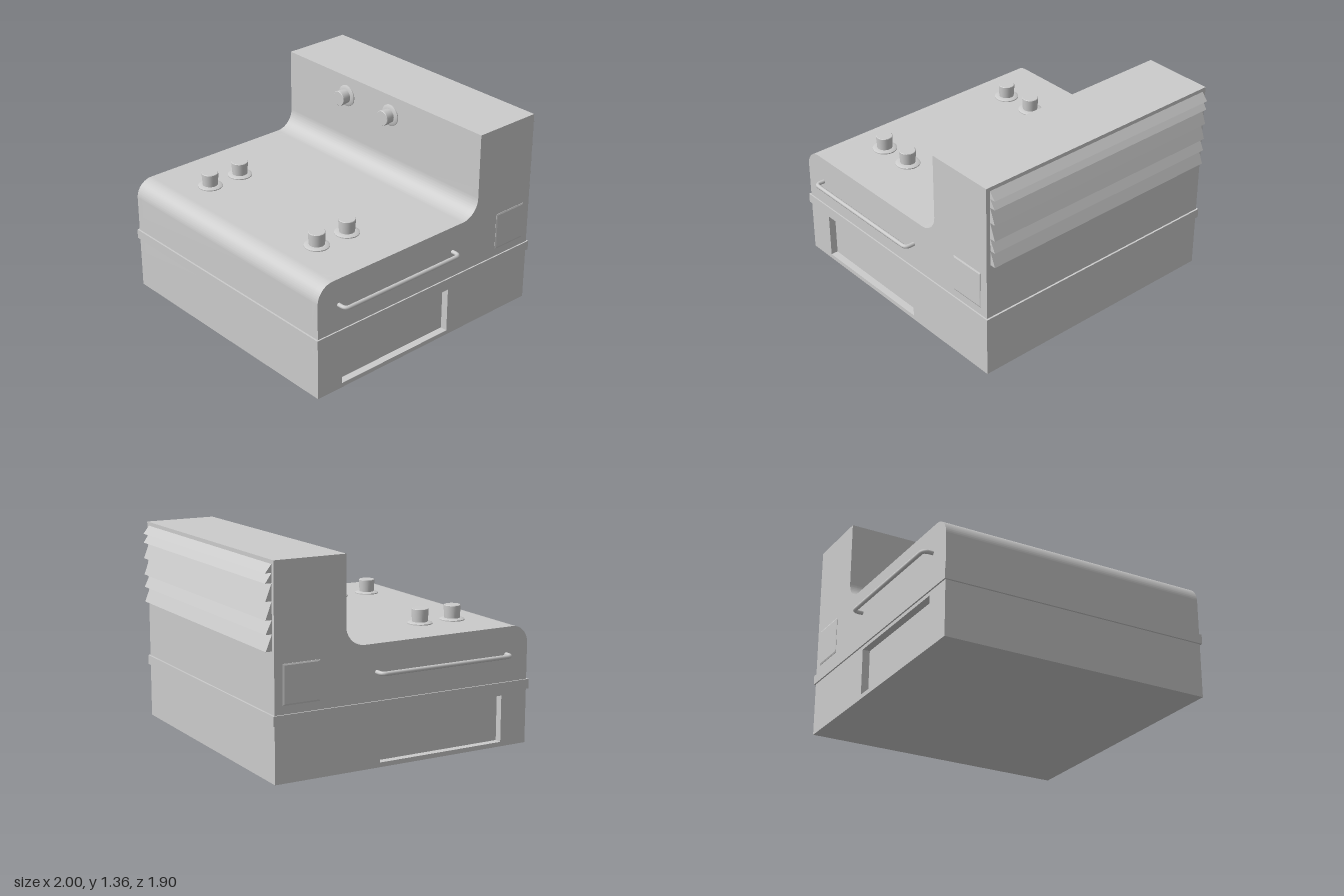
import * as THREE from 'three';
import { toCreasedNormals } from 'three/addons/utils/BufferGeometryUtils.js';

const material = new THREE.MeshStandardMaterial({ color: 0xcccccc });
const HALF = 0.922, RECESS = 0.05;
const FRONT = 0.935, BACK = -0.91, DECK = 0.79;

function part(name, geometry, parent) {
  const mesh = new THREE.Mesh(geometry, material);
  mesh.name = name;
  parent.add(mesh);
  return mesh;
}

// Extrudes a (z, y) side profile across the width, from x0 to x1
function extrudeAcross(shape, x0, x1) {
  const g = new THREE.ExtrudeGeometry(shape, { depth: x1 - x0, bevelEnabled: false, curveSegments: 16 });
  g.rotateY(-Math.PI / 2).translate(x1, 0, 0);
  return toCreasedNormals(g, 0.6);
}

// Side profile: rounded front edge, flat deck, cove, upright back
function bodyProfile() {
  const s = new THREE.Shape();
  s.moveTo(BACK, 0);
  s.lineTo(FRONT, 0);
  s.lineTo(FRONT, DECK - 0.12);
  s.absarc(FRONT - 0.12, DECK - 0.12, 0.12, 0, Math.PI / 2, false);
  s.lineTo(-0.29, DECK);
  s.absarc(-0.29, DECK + 0.13, 0.13, -Math.PI / 2, -Math.PI, true);
  s.lineTo(-0.42, 1.36);
  s.lineTo(BACK, 1.36);
  s.closePath();
  return s;
}

// Knob on a stepped round flange, standing on its base
function knobGeometry(flange, radius, height) {
  const points = [
    [0, 0], [flange, 0], [flange, 0.006], [flange - 0.012, 0.012], [radius - 0.004, 0.014],
    [radius, height * 0.75], [radius, height - 0.003], [radius - 0.003, height], [0, height],
  ].map(([r, y]) => new THREE.Vector2(r, y));
  return toCreasedNormals(new THREE.LatheGeometry(points, 32), 0.5);
}

// Grab rail with two rounded bends, for the +x side
function railGeometry() {
  const y = 0.61, inX = 0.91, outX = 0.986, z0 = -0.202, z1 = 0.768, r = 0.035;
  const v = (x, z) => new THREE.Vector3(x, y, z);
  const path = new THREE.CurvePath();
  path.add(new THREE.LineCurve3(v(inX, z0), v(outX - r, z0)));
  path.add(new THREE.QuadraticBezierCurve3(v(outX - r, z0), v(outX, z0), v(outX, z0 + r)));
  path.add(new THREE.LineCurve3(v(outX, z0 + r), v(outX, z1 - r)));
  path.add(new THREE.QuadraticBezierCurve3(v(outX, z1 - r), v(outX, z1), v(outX - r, z1)));
  path.add(new THREE.LineCurve3(v(outX - r, z1), v(inX, z1)));
  return new THREE.TubeGeometry(path, 100, 0.014, 10, false);
}

// Small raised side cover with a bevelled rim, for the +x side
function coverGeometry() {
  const s = new THREE.Shape();
  const w = 0.118;
  s.moveTo(-w, -w).lineTo(w, -w).lineTo(w, w).lineTo(-w, w).closePath();
  const g = new THREE.ExtrudeGeometry(s, {
    depth: 0.002, bevelThickness: 0.004, bevelSize: 0.01, bevelSegments: 1,
  });
  return g.rotateY(Math.PI / 2).translate(HALF, 0.61, -0.728);
}

export function createModel() {
  const model = new THREE.Group();
  model.name = 'counterUnit';

  // Body: a solid core and two side skins whose openings form the recesses
  const body = new THREE.Group();
  body.name = 'body';
  model.add(body);
  part('bodyCore', extrudeAcross(bodyProfile(), -HALF + RECESS, HALF - RECESS), body);
  const skin = bodyProfile();
  const opening = new THREE.Path();
  opening.moveTo(-0.175, 0.03).lineTo(-0.175, 0.34).lineTo(0.74, 0.34).lineTo(0.74, 0.03).closePath();
  skin.holes.push(opening);
  part('leftSidePanel', extrudeAcross(skin, HALF - RECESS, HALF), body);
  part('rightSidePanel', extrudeAcross(skin, -HALF, -HALF + RECESS), body);

  // Trim band around the middle
  const band = part('trimBand', new THREE.BoxGeometry(1.864, 0.064, 1.87), model);
  band.position.set(0, 0.396, 0.0125);

  // Rails and covers, one per side
  const rail = railGeometry(), cover = coverGeometry();
  for (const side of [1, -1]) {
    const label = side > 0 ? 'left' : 'right';
    const group = new THREE.Group();
    group.name = label + 'SideFittings';
    group.scale.x = side;
    model.add(group);
    part(label + 'Rail', rail, group);
    part(label + 'Cover', cover, group);
  }

  // Deck knobs in two pairs
  const deckKnob = knobGeometry(0.082, 0.055, 0.1);
  for (const x of [-0.55, 0.53])
    for (const z of [0.35, 0.6])
      part('deckKnob', deckKnob, model).position.set(x, DECK, z);

  // Knobs on the upright face
  const wallKnob = knobGeometry(0.075, 0.052, 0.078).rotateX(Math.PI / 2);
  for (const x of [-0.33, 0.1])
    part('uprightKnob', wallKnob, model).position.set(x, 1.22, -0.42);

  // Rear louvres: wedges with flat undersides, stacked down the back
  const edges = [1.335, 1.283, 1.222, 1.115, 1.003, 0.917, 0.815];
  const louvres = new THREE.Group();
  louvres.name = 'rearLouvres';
  model.add(louvres);
  for (let i = 0; i < edges.length - 1; i++) {
    const wedge = new THREE.Shape();
    wedge.moveTo(BACK, edges[i]).lineTo(BACK - 0.042, edges[i + 1]).lineTo(BACK, edges[i + 1]).closePath();
    part('louvre', extrudeAcross(wedge, -0.897, 0.893), louvres);
  }
  return model;
}
